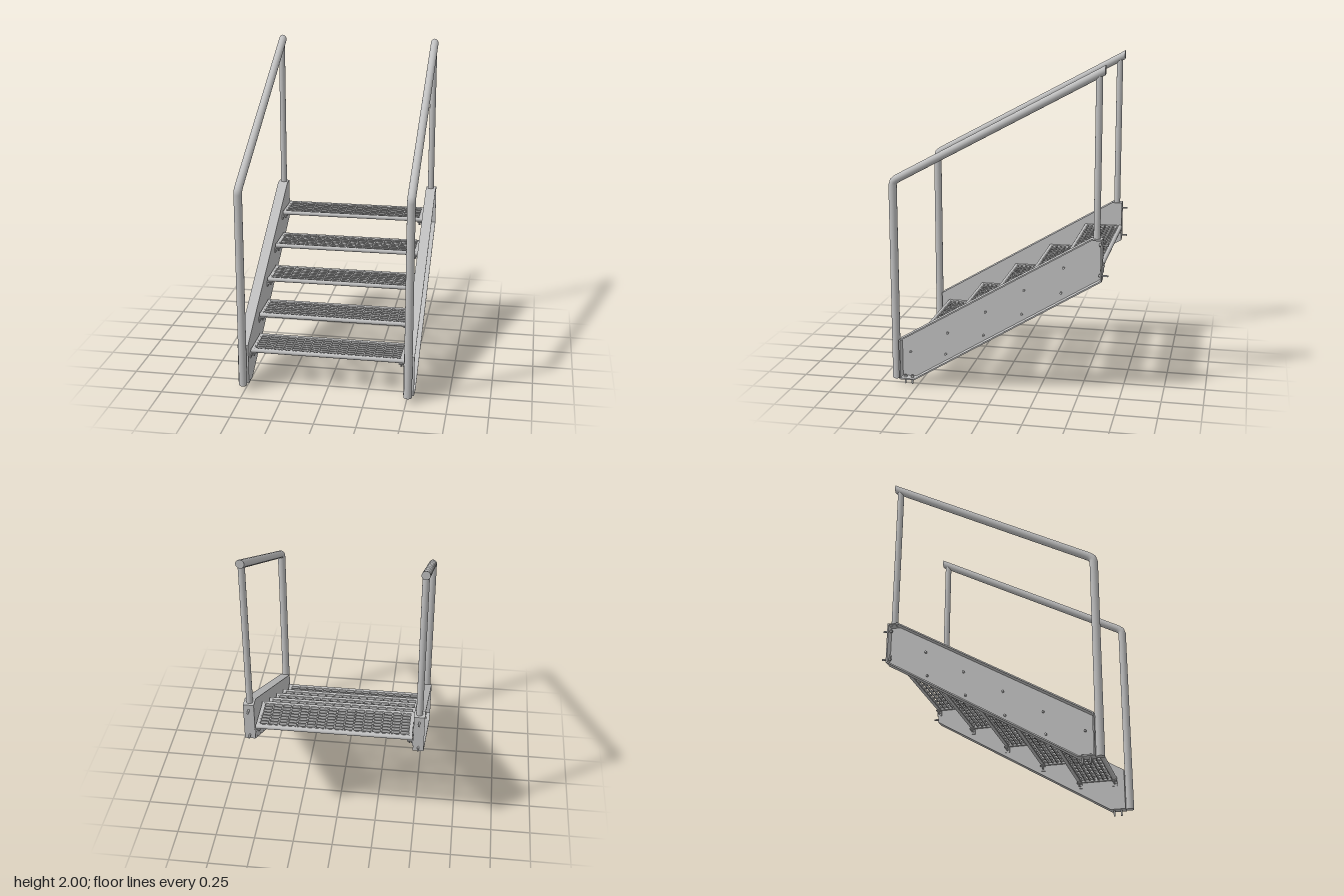
import * as THREE from 'three';
import { mergeGeometries } from 'three/addons/utils/BufferGeometryUtils.js';

const steel = new THREE.MeshStandardMaterial({ color: 0xc0c0c0 });
steel.name = 'galvanised steel';

const SIDE_X = 0.512;          // centre plane of each stringer and handrail
const TREAD_TOPS = [0.247, 0.385, 0.535, 0.685, 0.84];
const TREAD_DEPTH = 0.255;
const treadZ = (i) => 0.4425 - 0.239 * i;

function add(parent, name, geometry, x = 0, y = 0, z = 0) {
  const mesh = new THREE.Mesh(geometry, steel);
  mesh.name = name;
  mesh.position.set(x, y, z);
  parent.add(mesh);
  return mesh;
}

const box = (w, h, d, x = 0, y = 0, z = 0) => new THREE.BoxGeometry(w, h, d).translate(x, y, z);

// Cylinder lying along a chosen axis
function rod(radius, length, axis, sides = 16) {
  const g = new THREE.CylinderGeometry(radius, radius, length, sides);
  if (axis === 'x') g.rotateZ(Math.PI / 2);
  if (axis === 'z') g.rotateX(Math.PI / 2);
  return g;
}

// Side outlines are given as [z, y]; the plate is centred across x
const points = (list) => list.map(([z, y]) => new THREE.Vector2(z, y));
function sidePlate(outline, thickness, hole) {
  const shape = new THREE.Shape(points(outline));
  if (hole) shape.holes.push(new THREE.Path(points(hole)));
  const g = new THREE.ExtrudeGeometry(shape, { depth: thickness, bevelEnabled: false });
  return g.translate(0, 0, -thickness / 2).rotateY(-Math.PI / 2);
}

const OUTER = [[0.615, 0.035], [0.615, 0.29], [-0.57, 0.99], [-0.635, 0.99], [-0.635, 0.735], [0.52, 0.035]];
const INNER = [[0.607, 0.043], [0.607, 0.285], [-0.572, 0.982], [-0.627, 0.982], [-0.627, 0.74], [0.522, 0.043]];

// Channel stringer: inner web with flanges reaching outwards, plus anchor bolts
function stringer(s) {
  const g = new THREE.Group();
  g.name = 'stringer';
  add(g, 'stringerFlanges', sidePlate(OUTER, 0.065, INNER), s * SIDE_X);
  add(g, 'stringerWeb', sidePlate(OUTER, 0.008), s * 0.4838);
  for (const y of [0.765, 0.952]) {
    add(g, 'wallBolt', rod(0.006, 0.058, 'z', 10), s * SIDE_X, y, -0.641);
    add(g, 'wallBoltHead', rod(0.011, 0.01, 'z', 6), s * SIDE_X, y, -0.622);
  }
  for (const z of [0.585, 0.54]) {
    add(g, 'floorBolt', rod(0.006, 0.058, 'y', 10), s * SIDE_X, 0.029, z);
    add(g, 'floorBoltHead', rod(0.011, 0.01, 'y', 6), s * SIDE_X, 0.048, z);
  }
  return g;
}

// Bent pipe: front post, bend and sloping rail, with a rear post beneath
function handrail(s) {
  const g = new THREE.Group();
  g.name = 'handrail';
  const slope = 0.54, endZ = -0.635, r = 0.025;
  const railY = (z) => 1.972 - slope * (z - endZ);
  const p = (z, y) => new THREE.Vector3(0, y, z);
  const path = new THREE.CurvePath();
  const a = p(0.64, 1.265), b = p(0.605, railY(0.605));
  path.add(new THREE.LineCurve3(p(0.64, 0.035), a));
  path.add(new THREE.QuadraticBezierCurve3(a, p(0.64, railY(0.64)), b));
  path.add(new THREE.LineCurve3(b, p(-0.66, railY(-0.66))));
  const pipe = new THREE.TubeGeometry(path, 120, r, 20);
  // Trim the upper end to a vertical cut by sliding points back along the slope
  const pos = pipe.attributes.position;
  for (let i = 0; i < pos.count; i++) {
    const over = endZ - pos.getZ(i);
    if (over > 0) pos.setXYZ(i, pos.getX(i), pos.getY(i) - slope * over, endZ);
  }
  add(g, 'railPipe', pipe, s * 0.51);
  const cap = new THREE.CircleGeometry(r, 20).rotateY(Math.PI).scale(1, Math.hypot(1, slope), 1);
  add(g, 'railEndCap', cap, s * 0.51, 1.972, endZ);
  add(g, 'postFoot', new THREE.CircleGeometry(r, 20).rotateX(Math.PI / 2), s * 0.51, 0.035, 0.64);
  add(g, 'rearPost', rod(0.02, 0.975, 'y', 20), s * 0.51, 1.4675, -0.6);
  return g;
}

// Open grating: long bearing bars along x and short cross bars along z
function gratingGeometry() {
  const bars = [];
  for (let i = 0; i <= 7; i++) bars.push(box(0.92, 0.02, 0.006, 0, -0.013, -0.1 + (0.2 / 7) * i));
  for (let i = 0; i <= 16; i++) bars.push(box(0.007, 0.01, 0.21, -0.4544 + 0.0568 * i, -0.008, 0));
  return mergeGeometries(bars);
}
const grating = gratingGeometry();

function tread(i) {
  const g = new THREE.Group();
  g.name = 'tread';
  g.position.set(0, TREAD_TOPS[i], treadZ(i));
  add(g, 'grating', grating);
  for (const e of [1, -1]) {
    add(g, 'edgeBar', rod(0.014, 0.95, 'x'), 0, -0.014, e * (TREAD_DEPTH / 2 - 0.014));
  }
  for (const s of [1, -1]) {
    add(g, 'endBar', box(0.015, 0.025, 0.228), s * 0.4655, -0.0145, 0);
    // Angle clips at front and back fix the tread to the stringer
    for (const e of [1, -1]) {
      const z = e * 0.1125;
      add(g, 'angleClip', mergeGeometries([
        box(0.036, 0.006, 0.03, s * 0.462, -0.031, z),
        box(0.006, 0.034, 0.03, s * 0.477, -0.045, z),
      ]));
      add(g, 'treadBolt', rod(0.005, 0.024, 'y', 8), s * 0.457, -0.04, z);
      add(g, 'clipBolt', rod(0.007, 0.036, 'x', 8), s * 0.484, -0.045, z);
    }
  }
  return g;
}

export function createModel() {
  const model = new THREE.Group();
  model.name = 'steelStairs';
  for (const s of [1, -1]) model.add(stringer(s), handrail(s));
  for (let i = 0; i < TREAD_TOPS.length; i++) model.add(tread(i));
  return model;
}
